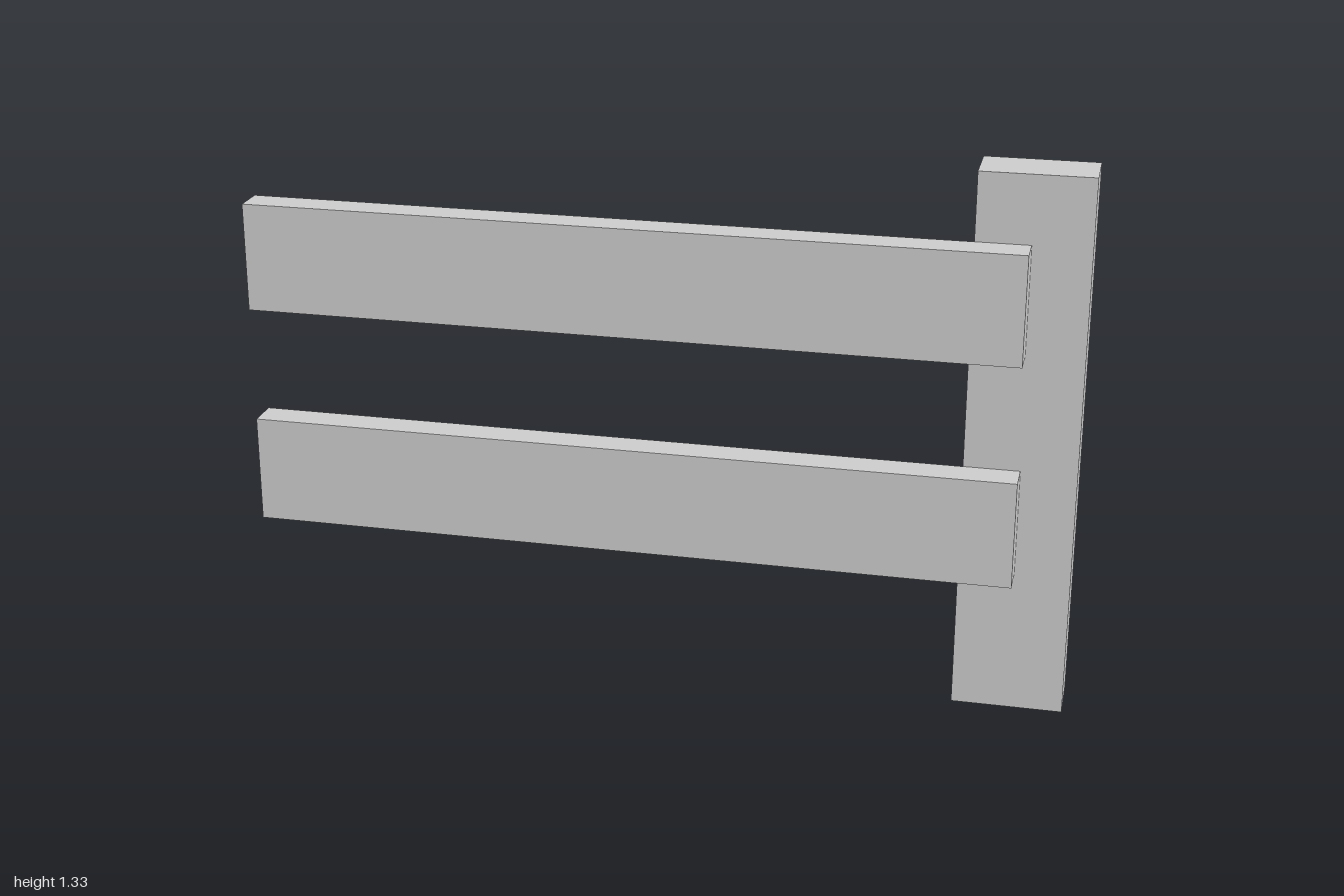
import * as THREE from 'three';

export function createModel() {
  const model = new THREE.Group();
  const material = new THREE.MeshStandardMaterial({ color: 0xcccccc, flatShading: true });

  // Box spanning two opposite corners
  const addBoard = (name, [x0, y0, z0], [x1, y1, z1]) => {
    const board = new THREE.Mesh(new THREE.BoxGeometry(x1 - x0, y1 - y0, z1 - z0), material);
    board.position.set((x0 + x1) / 2, (y0 + y1) / 2, (z0 + z1) / 2);
    board.name = name;
    model.add(board);
  };

  // Upright post at the left end
  addBoard('post', [0.733, 0, -0.107], [1, 1.334, 0.027]);

  // Two rails fixed to the front of the post
  addBoard('lowerRail', [-1, 0.354, 0.027], [0.867, 0.619, 0.107]);
  addBoard('upperRail', [-1, 0.903, 0.027], [0.862, 1.169, 0.107]);

  model.name = 'fenceSection';
  return model;
}
